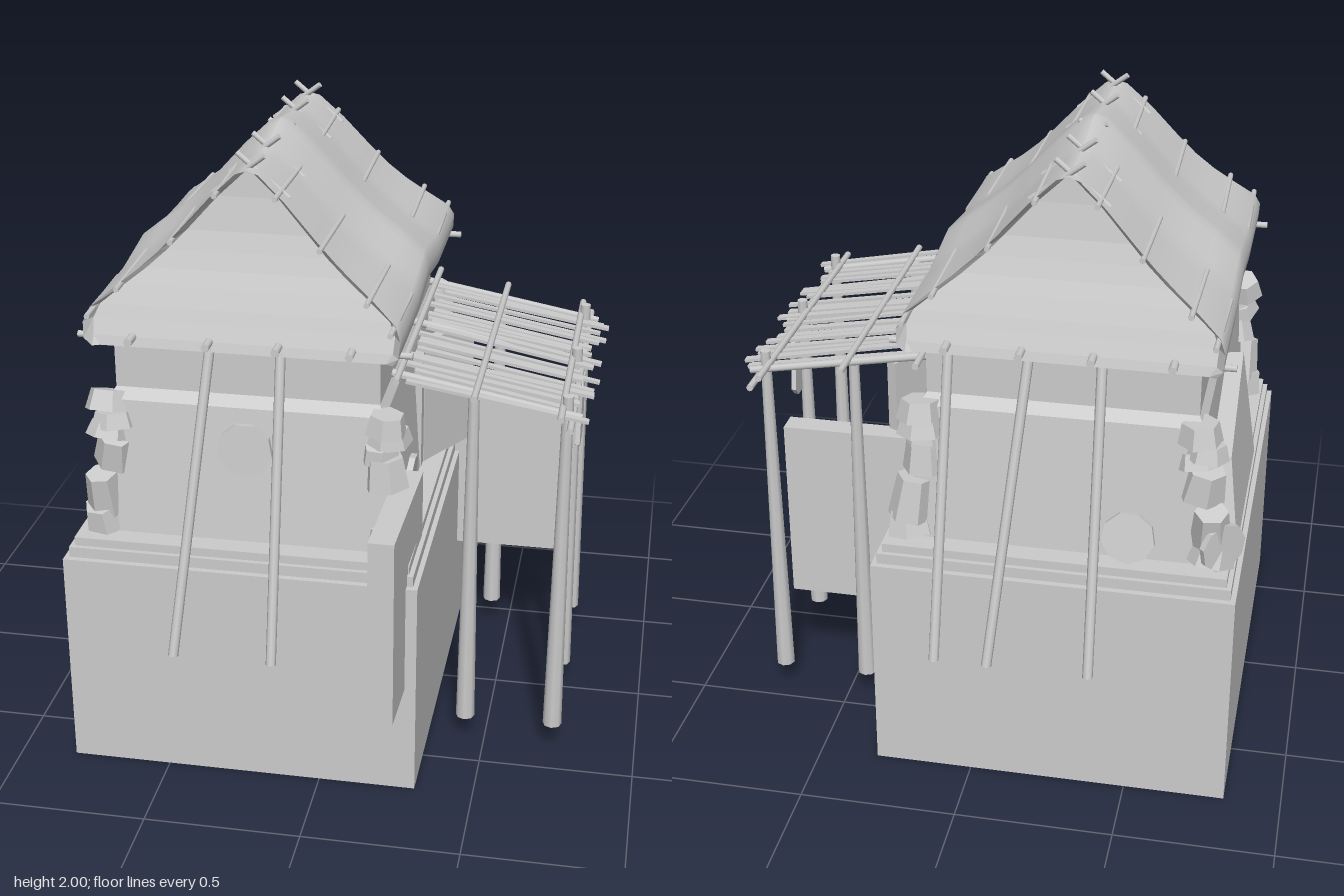
import * as THREE from 'three';

const CX = -0.254, CZ = -0.035; // centre of the house

const flat = new THREE.MeshStandardMaterial({ color: 0xcccccc, flatShading: true, side: THREE.DoubleSide });
const smooth = new THREE.MeshStandardMaterial({ color: 0xcccccc, side: THREE.DoubleSide });

export function createModel() {
  const model = new THREE.Group();
  let seed = 7;
  const rnd = (a, b) => {
    seed = (seed * 16807) % 2147483647;
    return a + (b - a) * seed / 2147483647;
  };

  function add(name, geometry, material = flat, parent = model) {
    const mesh = new THREE.Mesh(geometry, material);
    mesh.name = name;
    parent.add(mesh);
    return mesh;
  }
  function group(name) {
    const g = new THREE.Group();
    g.name = name;
    model.add(g);
    return g;
  }
  function box(name, size, pos, rotY = 0, parent = model) {
    const m = add(name, new THREE.BoxGeometry(...size), flat, parent);
    m.position.set(...pos);
    m.rotation.y = rotY;
    return m;
  }
  // round pole between two points
  function pole(name, a, b, r0, r1 = r0, parent = model) {
    const p = new THREE.Vector3(...a), q = new THREE.Vector3(...b), d = q.clone().sub(p);
    const m = add(name, new THREE.CylinderGeometry(r1, r0, d.length(), 8), smooth, parent);
    m.position.copy(p).add(q).multiplyScalar(0.5);
    m.quaternion.setFromUnitVectors(new THREE.Vector3(0, 1, 0), d.normalize());
  }
  // flat plate cut from an outline
  function plate(name, outline, depth) {
    const shape = new THREE.Shape(outline.map(p => new THREE.Vector2(...p)));
    return add(name, new THREE.ExtrudeGeometry(shape, { depth, bevelEnabled: false }));
  }
  // sheet whose points follow fn(column, row), rows counted from the bottom
  function sheet(name, cols, rows, fn, material) {
    const g = new THREE.PlaneGeometry(1, 1, cols, rows), p = g.attributes.position;
    for (let i = 0; i < p.count; i++)
      p.setXYZ(i, ...fn(i % (cols + 1), rows - Math.floor(i / (cols + 1))));
    g.computeVertexNormals();
    add(name, g, material);
  }
  // four sides lofted through rectangles [half x, half z, y, half z of the recessed end]
  function loft(name, levels, material, cols = 1, bump = () => 0) {
    for (const s of [1, -1]) {
      sheet(name + 'Side', cols, levels.length - 1, (i, k) => {
        const [hx, hz, y] = levels[k], w = 1 - 2 * i / cols;
        return [CX + s * hx, y + bump(w * hz), CZ + s * hz * w];
      }, material);
      sheet(name + 'End', 3, levels.length - 1, (i, k) => {
        const [hx, hz, y, inner = hz] = levels[k];
        const rim = i === 0 || i === 3, x = rim ? hx : Math.max(0, hx - 0.022);
        return [CX + s * (i < 2 ? -x : x), y, CZ + s * (rim ? hz : inner)];
      }, flat);
    }
  }

  // hollow plinth of three nested shells, open underneath
  loft('plinth', [[0.566, 0.725, 0], [0.566, 0.725, 0.73], [0.55, 0.705, 0.73]], flat);
  loft('plinthStep', [[0.55, 0.705, 0.1], [0.55, 0.705, 0.765], [0.535, 0.69, 0.765]], flat);
  loft('plinthTop', [[0.535, 0.69, 0.2], [0.535, 0.69, 0.793], [0.46, 0.62, 0.793]], flat);

  // thick lower wall with a sloping shoulder, then the upper wall
  loft('wall', [[0.465, 0.62, 0.79], [0.437, 0.575, 1.23], [0.417, 0.54, 1.26], [0.417, 0.54, 1.46]], flat);

  // thatched roof with rolled eaves, recessed gables and a raised middle
  const roof = [[0, 0, 1.425, 0], [0.43, 0.56, 1.425, 0.56], [0.465, 0.61, 1.42, 0.6], [0.485, 0.625, 1.45, 0.592],
    [0.488, 0.615, 1.5, 0.573], [0.47, 0.593, 1.54, 0.559], [0.395, 0.553, 1.6, 0.535], [0.33, 0.53, 1.65, 0.513],
    [0.268, 0.513, 1.705, 0.494], [0.21, 0.503, 1.765, 0.476], [0.115, 0.488, 1.87, 0.458], [0.035, 0.475, 1.945, 0.452],
    [0, 0.47, 1.955, 0.452]];
  loft('roof', roof, smooth, 24, z => 0.035 * Math.max(0, 1 - Math.abs(z) / 0.24));

  // poles half buried along the thatch
  const thatch = group('thatchPoles');
  for (const s of [1, -1]) {
    for (const [dx, y, hz] of [[0.092, 1.885, 0.515], [0.229, 1.737, 0.53], [0.383, 1.602, 0.6], [0.463, 1.53, 0.65]])
      for (const e of [1, -1])
        pole('sidePole', [CX + s * dx, y, CZ + e * hz], [CX + s * (dx + 0.008), y, CZ + e * (hz - 0.36)], 0.009, 0.008, thatch);
    // crossed sticks over the ridge
    for (const z of [0.385, 0.17, -0.06, -0.265, -0.475]) {
      const top = z === -0.06 ? 1.975 : 1.993;
      pole('crossStick', [CX - s * 0.12, 1.865, z - 0.01 * s], [CX + s * 0.045, top, z + 0.012 * s], 0.009, 0.009, thatch);
    }
    // eave pole ends
    pole('eavePole', [CX - 0.52, 1.44, CZ + s * 0.57], [CX + 0.52, 1.44, CZ + s * 0.57], 0.011, 0.011, thatch);
    for (const x of [-0.595, -0.355, -0.14, 0.085])
      pole('rafterEnd', [x, 1.45, CZ + s * 0.56], [x, 1.45, CZ + s * 0.645], 0.013, 0.013, thatch);
  }

  // leaning props, two in front and three behind
  for (const [x0, x1, z0, z1] of [[-0.355, -0.437, 0.55, 0.81], [-0.135, -0.125, 0.55, 0.81],
    [-0.38, -0.395, -0.61, -0.88], [-0.16, -0.08, -0.61, -0.88], [0.085, 0.085, -0.61, -0.88]])
    pole('leaningProp', [x0, 1.43, z0], [x1, 0.49, z1], 0.016);

  // irregular stones stacked at the wall corners: [height, size, outward shift]
  const stones = group('cornerStones');
  const stack = [[0.835, 0.08, 0.045], [0.92, 0.14, 0.045], [1.055, 0.1, 0.01], [1.125, 0.05, 0], [1.165, 0.05, 0.01], [1.215, 0.065, 0.005]];
  for (const sx of [1, -1]) for (const sz of [1, -1])
    for (const [y, h, out] of sx + sz === 2 ? stack.filter((stone, i) => i !== 1) : stack) {
      const stone = add('stone', new THREE.CylinderGeometry(0.4, 0.5, 1, 6), flat, stones);
      stone.position.set(CX + sx * (0.425 + out + rnd(-0.015, 0.015)), y, CZ + sz * (0.555 + out + rnd(-0.02, 0.02)));
      stone.scale.set(rnd(0.12, 0.16), h, rnd(0.12, 0.16));
      stone.rotation.set(rnd(-0.2, 0.2), rnd(0, 3), rnd(-0.2, 0.2));
    }

  // upright slabs beside the house
  box('frontSlab', [0.08, 0.62, 0.5], [0.237, 0.68, 0.642], -0.025);
  box('yardSlab', [0.5, 0.62, 0.075], [0.44, 0.68, -0.36]);

  // open door leaf and its frame
  box('door', [0.035, 0.44, 0.28], [0.27, 1.01, -0.22], -0.5);
  box('doorFrame', [0.05, 0.41, 0.06], [0.19, 0.995, -0.07]);

  // crooked slab leaning on the left wall
  const leaning = plate('leaningSlab', [[-0.54, 0], [0.1, 0], [0.07, 0.38], [-0.46, 0.27]], 0.06);
  leaning.geometry.rotateY(-Math.PI / 2).rotateZ(-0.14);
  leaning.position.set(-0.742, 0.79, 0);

  // rough round shields
  function disc(name, r, pos, rot) {
    const m = add(name, new THREE.CylinderGeometry(r, r, 0.02, 9));
    m.position.set(...pos);
    m.rotation.set(...rot);
  }
  disc('frontShield', 0.088, [-0.25, 1.1, 0.563], [Math.PI / 2 - 0.08, 0, 0]);
  disc('sideShield', 0.083, [0.215, 0.87, 0.205], [0, 0, Math.PI / 2 - 0.1]);
  disc('backShield', 0.083, [-0.48, 0.875, -0.675], [Math.PI / 2 + 0.2, 0, 0]);
  disc('cornerShield', 0.08, [-0.765, 0.87, -0.665], [-Math.PI / 2, 0, 0.75]);

  // hide hung on the outer post
  const hide = plate('hangingHide', [[-0.09, 0.97], [-0.05, 0.95], [0.06, 0.95], [0.09, 0.98], [0.075, 1.05], [0.09, 1.12],
    [0.05, 1.17], [-0.03, 1.18], [-0.08, 1.14], [-0.075, 1.05]], 0.015);
  hide.rotation.y = Math.PI / 2;
  hide.position.set(0.737, 0, -0.025);

  // pergola: posts, beams, rafters and rough slats
  const pergola = group('pergola');
  const slopeY = x => 1.315 - (x - 0.2) * 0.18;
  for (const [x, z] of [[0.725, 0.37], [0.725, -0.025], [0.725, -0.425], [0.435, 0.37], [0.435, -0.425]])
    pole('post', [x, 0.09, z], [x, 1.275, z], 0.031, 0.017, pergola);
  for (const [x, lift] of [[0.205, 0.012], [0.445, 0.014], [0.71, 0.014], [0.74, -0.016]])
    pole('beam', [x, slopeY(x) + lift, -0.55], [x, slopeY(x) + lift, 0.475], 0.011, 0.011, pergola);
  for (const z of [-0.445, -0.055, 0.385])
    pole('rafter', [0.18, slopeY(0.18), z], [0.77, slopeY(0.77), z], 0.014, 0.012, pergola);
  for (let i = 0; i < 20; i++) {
    const x0 = rnd(0.18, 0.24), x1 = rnd(0.74, 0.815), x = (x0 + x1) / 2;
    const slat = box('slat', [x1 - x0, 0.01, rnd(0.018, 0.032)], [x, slopeY(x) + rnd(-0.004, 0.008), -0.41 + i * 0.044], 0, pergola);
    slat.rotation.set(0, rnd(-0.035, 0.035), -0.178);
  }
  return model;
}
